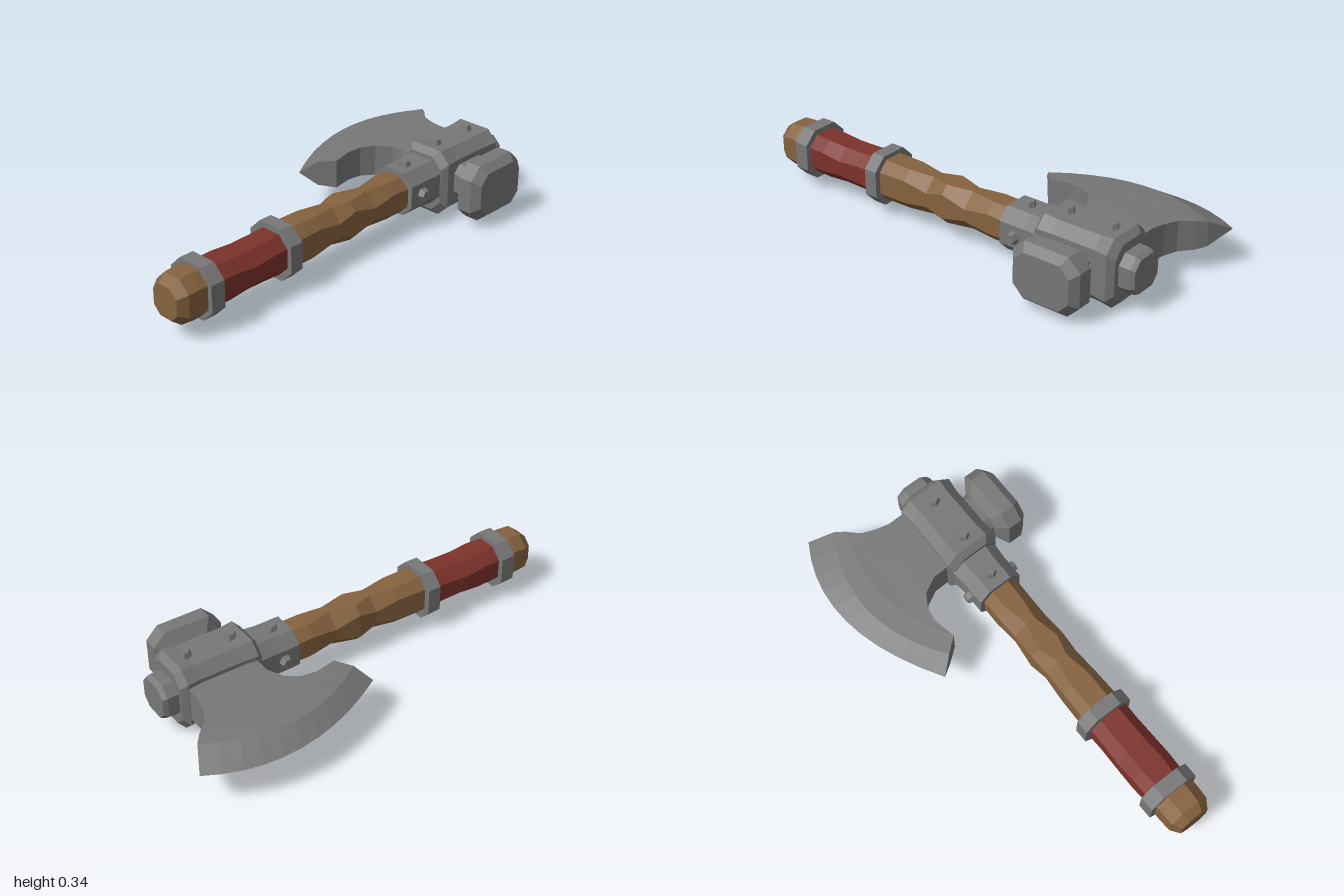
import * as THREE from 'three';

const mat = (name, color, extra) => {
  const m = new THREE.MeshStandardMaterial({ color });
  m.name = name;
  return m;
};

// Skin a list of equal-length rings, cap both ends, and make it face outward
function loft(rings) {
  const tris = [];
  const n = rings[0].length;
  for (let i = 0; i < rings.length - 1; i++) {
    for (let j = 0; j < n; j++) {
      const k = (j + 1) % n;
      const [a, b, c, d] = [rings[i][j], rings[i][k], rings[i + 1][k], rings[i + 1][j]];
      tris.push([a, b, c], [a, c, d]);
    }
  }
  const first = rings[0], last = rings[rings.length - 1];
  for (let j = 1; j < n - 1; j++) {
    tris.push([first[0], first[j + 1], first[j]], [last[0], last[j], last[j + 1]]);
  }
  const cross = new THREE.Vector3();
  let volume = 0;
  for (const [a, b, c] of tris) volume += a.dot(cross.crossVectors(b, c));
  const points = tris.flatMap(([a, b, c]) => (volume < 0 ? [a, c, b] : [a, b, c]));
  const g = new THREE.BufferGeometry().setFromPoints(points);
  g.computeVertexNormals();
  return g;
}

// Chamfered rectangle of half sizes w, h with corner cut c
const octagon = (w, h, c) => [
  [w, h - c], [w - c, h], [c - w, h], [-w, h - c],
  [-w, c - h], [c - w, -h], [w - c, -h], [w, c - h],
];

// Sections are [position, half width, half height, chamfer, sideways shift]
const alongZ = (cx, cy, sections) => loft(sections.map(([z, w, h, c, s = 0]) =>
  octagon(w, h, c).map(([u, v]) => new THREE.Vector3(cx + s + u, cy + v, z))));
const alongX = (cz, cy, sections) => loft(sections.map(([x, w, h, c]) =>
  octagon(w, h, c).map(([u, v]) => new THREE.Vector3(x, cy + v, cz + u))));

export function createModel() {
  const steel = mat('steel', 0x777777);
  const wood = mat('wood', 0x85623f);
  const leather = mat('red leather', 0x7c322b);
  const group = new THREE.Group();
  const add = (name, geometry, material) => {
    const mesh = new THREE.Mesh(geometry, material);
    mesh.name = name;
    group.add(mesh);
    return mesh;
  };
  const CX = 0.145, CY = 0.17;

  // Hand-carved shaft with uneven chamfers
  add('shaft', alongZ(CX, CY, [
    [-0.32, 0.086, 0.084, 0.045], [-0.2, 0.084, 0.086, 0.042, -0.002],
    [-0.08, 0.082, 0.087, 0.06, 0.003], [0.04, 0.086, 0.09, 0.034, -0.002],
    [0.13, 0.081, 0.088, 0.056, 0.002], [0.25, 0.085, 0.092, 0.04],
    [0.42, 0.09, 0.096, 0.046],
  ]), wood);

  // Leather grip, pinched at the middle
  add('grip', alongZ(CX, CY, [
    [0.42, 0.095, 0.093, 0.05], [0.52, 0.093, 0.086, 0.046],
    [0.62, 0.097, 0.084, 0.05], [0.72, 0.096, 0.09, 0.045], [0.83, 0.092, 0.094, 0.05],
  ]), leather);

  add('pommel', alongZ(CX, CY, [
    [0.83, 0.094, 0.1, 0.05], [0.9, 0.094, 0.104, 0.05],
    [0.96, 0.092, 0.1, 0.05], [1, 0.067, 0.07, 0.035],
  ]), wood);

  // Steel bands at both ends of the grip
  for (const [z0, z1] of [[0.385, 0.447], [0.8, 0.867]]) {
    add('gripBand', alongZ(CX - 0.002, CY, [
      [z0, 0.117, 0.116, 0.056], [z1, 0.117, 0.116, 0.056],
    ]), steel);
  }

  // Collar, head block and end plug
  add('collar', alongZ(CX, 0.175, [
    [-0.285, 0.106, 0.1, 0.05], [-0.4, 0.106, 0.1, 0.05], [-0.48, 0.112, 0.104, 0.05],
  ]), steel);
  add('headBlock', alongZ(0.15, 0.168, [
    [-0.465, 0.108, 0.127, 0.048], [-0.492, 0.13, 0.153, 0.05],
    [-0.56, 0.122, 0.146, 0.045], [-0.76, 0.122, 0.146, 0.045],
    [-0.822, 0.13, 0.153, 0.05], [-0.85, 0.108, 0.127, 0.048],
  ]), steel);
  add('endPlug', alongZ(CX, CY, [
    [-0.83, 0.09, 0.086, 0.04], [-0.9, 0.088, 0.084, 0.04], [-0.92, 0.08, 0.074, 0.036],
  ]), steel);

  // Hammer poll
  add('hammerNeck', alongX(-0.64, 0.167, [
    [0.25, 0.1, 0.078, 0.035], [0.32, 0.1, 0.078, 0.035],
  ]), steel);
  add('hammerHead', alongX(-0.64, 0.165, [
    [0.31, 0.105, 0.08, 0.035], [0.348, 0.16, 0.13, 0.055],
    [0.415, 0.16, 0.13, 0.055], [0.45, 0.13, 0.1, 0.045],
  ]), steel);

  // Blade stations from root to edge: back x, z, front x, z, middle x, half thickness
  const stations = [
    [0.04, -0.82, 0.04, -0.5, 0.04, 0.079],
    [-0.05, -0.82, -0.05, -0.497, -0.05, 0.076],
    [-0.11, -0.835, -0.12, -0.46, -0.12, 0.073],
    [-0.17, -0.86, -0.157, -0.4, -0.18, 0.07],
    [-0.2, -0.89, -0.165, -0.335, -0.22, 0.068],
    [-0.22, -0.912, -0.145, -0.235, -0.27, 0.066],
    [-0.26, -0.945, -0.21, -0.183, -0.362, 0.057],
    [-0.365, -1, -0.275, -0.13, -0.455, 0.0005],
  ];
  add('blade', loft(stations.map(([ax, az, bx, bz, mx, h], i) => {
    const mz = (az + bz) / 2 - (i === 7 ? 0.035 : 0);
    const curve = new THREE.QuadraticBezierCurve(
      new THREE.Vector2(ax, az),
      new THREE.Vector2(2 * mx - (ax + bx) / 2, 2 * mz - (az + bz) / 2),
      new THREE.Vector2(bx, bz));
    const pts = curve.getPoints(10);
    const side = (s) => pts.map((p) => new THREE.Vector3(p.x, 0.173 + s * h, p.y));
    return [...side(1), ...side(-1).reverse()];
  })), steel);

  // Six-sided rivets pointing away from the surface
  const rivetGeometry = new THREE.CylinderGeometry(0.022, 0.038, 0.05, 6).toNonIndexed();
  rivetGeometry.computeVertexNormals();
  const up = new THREE.Vector3(0, 1, 0);
  const rivet = (x, y, z, dx, dy) => {
    const mesh = add('rivet', rivetGeometry, steel);
    mesh.position.set(x, y, z);
    mesh.quaternion.setFromUnitVectors(up, new THREE.Vector3(dx, dy, 0));
  };
  for (const s of [1, -1]) {
    for (const z of [-0.55, -0.76]) rivet(0.15, 0.169 + s * 0.144, z, 0, s);
    rivet(CX, 0.173 + s * 0.1, -0.355, 0, s);
    rivet(CX + s * 0.107, 0.173, -0.355, s, 0);
  }
  return group;
}
